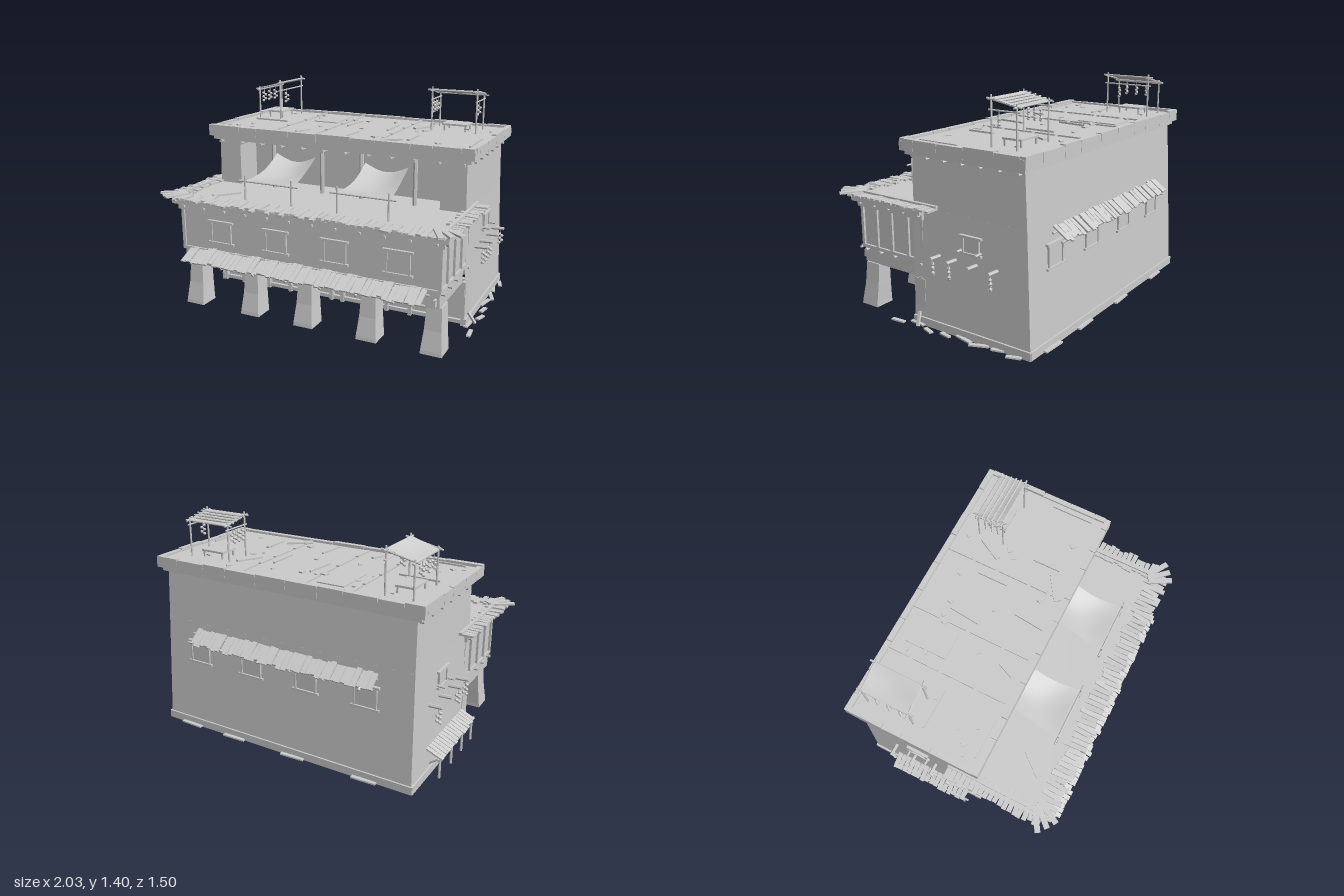
import * as THREE from 'three';

const mat = new THREE.MeshStandardMaterial({ color: 0xcccccc, flatShading: true });
const thin = new THREE.MeshStandardMaterial({ color: 0xcccccc, side: THREE.DoubleSide });

let seed = 7;
const rnd = (a = 0, b = 1) => {
  seed = (seed * 16807) % 2147483647;
  return a + (b - a) * (seed / 2147483647);
};

function add(parent, name, geo, material = mat) {
  const m = new THREE.Mesh(geo, material);
  m.name = name;
  parent.add(m);
  return m;
}

function group(parent, name) {
  const g = new THREE.Group();
  g.name = name;
  parent.add(g);
  return g;
}

// Box given by its limits
function box(parent, name, x0, x1, y0, y1, z0, z1) {
  const m = add(parent, name, new THREE.BoxGeometry(x1 - x0, y1 - y0, z1 - z0));
  m.position.set((x0 + x1) / 2, (y0 + y1) / 2, (z0 + z1) / 2);
  return m;
}

// Turned plank given by centre, size and rotation
function plank(parent, name, size, pos, rot = [0, 0, 0]) {
  const m = add(parent, name, new THREE.BoxGeometry(...size));
  m.position.set(...pos);
  m.rotation.set(...rot);
  return m;
}

// Round pole between two points
function pole(parent, name, a, b, r = 0.006) {
  const p = new THREE.Vector3(...a), q = new THREE.Vector3(...b), d = q.clone().sub(p);
  const m = add(parent, name, new THREE.CylinderGeometry(r, r, d.length(), 6));
  m.position.copy(p).add(q).multiplyScalar(0.5);
  m.quaternion.setFromUnitVectors(new THREE.Vector3(0, 1, 0), d.normalize());
  return m;
}

// Tapered block: rectangles [x0, x1, z0, z1] at the bottom and the top
function taper(parent, name, y0, y1, lo, hi, open = [], material = mat) {
  const ring = ([x0, x1, z0, z1], y) => [[x0, y, z1], [x1, y, z1], [x1, y, z0], [x0, y, z0]];
  const a = ring(lo, y0), b = ring(hi, y1);
  const faces = {
    front: [a[0], a[1], b[1], b[0]], right: [a[1], a[2], b[2], b[1]],
    back: [a[2], a[3], b[3], b[2]], left: [a[3], a[0], b[0], b[3]],
    top: b, bottom: [a[3], a[2], a[1], a[0]],
  };
  const v = [];
  for (const key in faces) {
    if (open.includes(key)) continue;
    const f = faces[key];
    for (const i of [0, 1, 2, 0, 2, 3]) v.push(...f[i]);
  }
  const geo = new THREE.BufferGeometry();
  geo.setAttribute('position', new THREE.Float32BufferAttribute(v, 3));
  geo.computeVertexNormals();
  return add(parent, name, geo, material);
}

// Window with lintel and sill, facing +z of its own group
function windowFrame(parent, x, y, z, turn, w = 0.14, h = 0.14) {
  const g = group(parent, 'window');
  box(g, 'shutter', -w / 2, w / 2, -h / 2, h / 2, -0.01, 0.004);
  for (const s of [-1, 1]) {
    plank(g, 'jamb', [0.012, h, 0.022], [s * w / 2, 0, 0]);
    plank(g, s > 0 ? 'lintel' : 'sill', [w + 0.045, 0.014, 0.03], [0, s * h / 2, 0]);
  }
  g.position.set(x, y, z);
  g.rotation.y = turn;
}

// String of drying food
function hanging(parent, x, y, z, s = 1) {
  const g = group(parent, 'hangingFood');
  pole(g, 'string', [0, 0, 0], [0, -0.09, 0], 0.002);
  for (let i = 0; i < 5; i++) {
    const m = add(g, 'food', new THREE.IcosahedronGeometry(0.011, 0));
    m.position.set(i % 2 ? 0.006 : -0.006, -0.03 - i * 0.014, i % 2 ? -0.006 : 0.006);
  }
  g.position.set(x, y, z);
  g.scale.setScalar(s);
}

// Sagging cloth: p(u, v) gives each point
function cloth(parent, name, p) {
  const geo = new THREE.PlaneGeometry(1, 1, 12, 12), a = geo.attributes.position;
  for (let i = 0; i < a.count; i++) a.setXYZ(i, ...p(a.getX(i) + 0.5, a.getY(i) + 0.5));
  geo.computeVertexNormals();
  return add(parent, name, geo, thin);
}

// Roof shelter with a slatted or cloth top, a table and hanging food
function shelter(parent, x0, x1, z0, z1, height, slats) {
  const g = group(parent, 'roofShelter');
  for (const x of [x0, x1]) for (const z of [z0, z1]) pole(g, 'post', [x, 1.1, z], [x, height(x, z) + 0.02, z]);
  const e = 0.03;
  for (const z of [z0, z1]) pole(g, 'topBeam', [x0 - e, height(x0, z), z], [x1 + e, height(x1, z), z]);
  for (const x of [x0, x1]) {
    pole(g, 'sideBeam', [x, height(x, z0), z0 - e], [x, height(x, z1), z1 + e]);
    pole(g, 'hangingRail', [x, 1.32, z0 - 0.02], [x, 1.32, z1 + 0.02], 0.005);
  }
  cloth(g, 'canopy', (u, v) => {
    const x = x0 + (x1 - x0) * u, z = z1 + (z0 - z1) * v;
    return [x, height(x, z) + 0.006 - 0.012 * Math.sin(Math.PI * u) * Math.sin(Math.PI * v), z];
  });
  if (slats) for (let i = 1; i < 5; i++) {
    const z = z0 + (z1 - z0) * i / 5;
    pole(g, 'slat', [x0 - 0.02, height(x0, z) + 0.006, z], [x1 + 0.02, height(x1, z) + 0.006, z]);
  }
  const cx = (x0 + x1) / 2, cz = (z0 + z1) / 2, w = Math.min(0.17, x1 - x0 - 0.05), d = Math.min(0.17, z1 - z0 - 0.04);
  plank(g, 'tableTop', [w, 0.012, d], [cx, 1.158, cz]);
  for (const a of [-1, 1]) for (const b of [-1, 1]) plank(g, 'tableLeg', [0.01, 0.05, 0.01], [cx + a * w * 0.42, 1.132, cz + b * d * 0.42]);
  for (const t of [0.3, 0.55, 0.8]) hanging(g, x0, 1.32, z0 + (z1 - z0) * t);
  hanging(g, x1, 1.32, z0 + (z1 - z0) * 0.7);
}

export function createModel() {
  const root = new THREE.Group();
  root.name = 'tradingHouse';

  // Main tapered walls, open below, with an open terrace cut in the upper storey
  taper(root, 'lowerWalls', 0, 0.728, [-0.895, 0.895, -0.68, 0.165], [-0.875, 0.875, -0.643, 0.165], ['bottom', 'front'], thin);
  taper(root, 'upperRoom', 0.72, 1.06, [-0.875, 0.875, -0.643, -0.03], [-0.868, 0.868, -0.625, -0.03]);
  for (const s of [-1, 1]) {
    const lo = [0.71, 0.875].map(x => x * s).sort((a, b) => a - b), hi = [0.71, 0.868].map(x => x * s).sort((a, b) => a - b);
    taper(root, 'upperEndWall', 0.72, 1.06, [...lo, -0.04, 0.165], [...hi, -0.04, 0.165]);
    box(root, 'sidePlinth', s > 0 ? 0.885 : -0.905, s > 0 ? 0.905 : -0.885, 0, 0.05, -0.685, 0.168);
  }
  box(root, 'backPlinth', -0.9, 0.9, 0, 0.05, -0.688, -0.665);
  for (const x of [-0.46, -0.1, 0.18, 0.54]) pole(root, 'terraceColumn', [x, 0.73, 0.14], [x, 1.05, 0.14], 0.014);

  // Ground storey front: panels, posts and rails
  box(root, 'groundFrontWall', -0.89, 0.89, 0.005, 0.3, 0.1, 0.13);
  for (const y of [0.02, 0.265]) box(root, 'groundRail', -0.89, 0.89, y - 0.012, y + 0.012, 0.08, 0.15);
  for (const x of [-0.88, -0.73, -0.52, -0.35, -0.23, -0.03, 0.05, 0.32, 0.37, 0.53, 0.73, 0.88]) box(root, 'groundPost', x - 0.012, x + 0.012, 0, 0.29, 0.08, 0.162);
  box(root, 'groundCeiling', -0.87, 0.87, 0.36, 0.38, -0.65, 0.16);

  // Overhanging middle storey
  box(root, 'overhangBeam', -0.87, 0.87, 0.29, 0.39, 0.16, 0.598);
  box(root, 'middleRoom', -0.868, 0.868, 0.38, 0.68, 0.09, 0.6);
  box(root, 'lowerRail', -0.882, 0.882, 0.385, 0.405, 0.09, 0.612);
  box(root, 'upperRail', -0.895, 0.895, 0.655, 0.695, 0.085, 0.62);
  box(root, 'terraceDeck', -0.925, 0.925, 0.692, 0.732, 0.075, 0.642);
  for (const s of [-1, 1]) for (const z of [0.105, 0.22, 0.355, 0.48, 0.6]) plank(root, 'sideStud', [0.022, 0.27, 0.02], [s * 0.871, 0.53, z]);
  for (const x of [-0.58, -0.18, 0.22, 0.62]) {
    windowFrame(root, x, 0.53, 0.603, 0);
    windowFrame(root, x, 0.53, -0.655, Math.PI);
  }

  // Flared columns leaning back
  for (const x of [-0.805, -0.38, 0.005, 0.43, 0.835]) {
    const g = group(root, 'frontColumn');
    const rings = [[0.008, 0.066, 0.49, 0.62], [0.03, 0.064, 0.49, 0.618], [0.15, 0.053, 0.482, 0.595], [0.292, 0.045, 0.475, 0.582]];
    for (let i = 0; i < 3; i++) {
      const [y0, w0, a0, b0] = rings[i], [y1, w1, a1, b1] = rings[i + 1];
      taper(g, 'columnShaft', y0, y1, [x - w0, x + w0, a0, b0], [x - w1, x + w1, a1, b1], i ? ['bottom'] : []);
    }
  }

  // Roof slab, cornice, rim and dividers
  box(root, 'cornice', -0.9, 0.9, 1.035, 1.07, -0.645, 0.195);
  box(root, 'roofSlab', -0.925, 0.925, 1.06, 1.115, -0.665, 0.212);
  const rim = group(root, 'roofRim');
  const rimRun = (from, to, place) => {
    for (let t = from; t < to - 0.01;) {
      const n = Math.min(to, t + rnd(0.12, 0.25));
      place(t, n - 0.004, 1.13 + rnd(-0.004, 0.006));
      t = n;
    }
  };
  for (const z of [-0.648, 0.195]) rimRun(-0.925, 0.925, (a, b, y) => box(rim, 'rimBlock', a, b, 1.06, y, z - 0.018, z + 0.018));
  for (const x of [-0.91, 0.91]) rimRun(-0.63, 0.18, (a, b, y) => box(rim, 'rimBlock', x - 0.016, x + 0.016, 1.06, y, a, b));
  for (const x of [-0.46, -0.155, 0.29]) rimRun(-0.63, 0.18, (a, b) => box(rim, 'roofDivider', x - 0.01, x + 0.01, 1.11, 1.124, a, b - 0.02));
  box(root, 'roofHatch', -0.385, -0.21, 1.11, 1.122, -0.565, -0.29);
  for (let i = 0; i < 26; i++) plank(root, 'roofDebris', [rnd(0.015, 0.04), 0.008, rnd(0.015, 0.03)], [rnd(-0.85, 0.85), 1.119, rnd(-0.58, 0.14)], [0, rnd(0, 3), 0]);
  for (const [x, z, r, w, l] of [[0.4, -0.39, -0.5, 0.03, 0.17], [0.34, 0.1, -1, 0.05, 0.18], [-0.28, 0.07, -0.4, 0.02, 0.11], [-0.08, -0.32, -0.1, 0.012, 0.2], [0.06, 0.05, -0.1, 0.012, 0.2], [0.22, -0.28, 0, 0.012, 0.2], [0.46, -0.02, 0, 0.02, 0.18], [0.86, -0.03, 0, 0.01, 0.27], [-0.68, -0.2, 1.55, 0.012, 0.26], [-0.7, 0.15, 1.55, 0.012, 0.26]])
    plank(root, 'looseBoard', [w, 0.012, l], [x, 1.12, z], [0, r, 0]);

  // Beam ends under roof, deck and overhang
  for (let i = 0; i < 12; i++) {
    const x = -0.85 + i * 0.1545;
    pole(root, 'roofBeamEnd', [x, 1.022, 0.1], [x, 1.022, 0.19], 0.013);
    pole(root, 'deckBeamEnd', [x, 0.677, 0.58], [x, 0.677, 0.635], 0.013);
    plank(root, 'awningBracket', [0.012, 0.045, 0.04], [x, 0.33, 0.61]);
  }
  for (const s of [-1, 1]) {
    for (let i = 0; i < 6; i++) pole(root, 'roofBeamEnd', [s * 0.85, 1.022, 0.045 - i * 0.128], [s * 0.895, 1.022, 0.045 - i * 0.128], 0.012);
    for (const z of [0.11, 0.23, 0.35, 0.47, 0.59]) pole(root, 'deckBeamEnd', [s * 0.86, 0.677, z], [s * 0.912, 0.677, z], 0.012);
    for (const z of [0.11, 0.33, 0.45, 0.57]) pole(root, 'floorBeamEnd', [s * 0.85, 0.375, z], [s * 0.895, 0.375, z], 0.011);
  }

  // Plank edging around the deck
  const edge = group(root, 'deckPlanks');
  for (let x = -0.9; x < 0.92; x += 0.034) plank(edge, 'plank', [0.03, 0.012, rnd(0.1, 0.15)], [x, 0.742 + rnd(-0.004, 0.006), 0.635 + rnd(-0.015, 0.015)], [rnd(-0.05, 0.12), rnd(-0.08, 0.08), 0]);
  for (const s of [-1, 1]) {
    for (let z = -0.01; z < 0.62; z += 0.034) plank(edge, 'plank', [rnd(0.09, 0.14), 0.012, 0.03], [s * 0.912, 0.742 + rnd(-0.005, 0.005), z], [0, rnd(-0.08, 0.08), rnd(-0.05, 0.05)]);
    for (let i = 0; i < 3; i++) plank(edge, 'cornerPlank', [0.035, 0.012, 0.16], [s * (0.87 + i * 0.035), 0.754, 0.655 - i * 0.025], [0, s * (0.5 + i * 0.25), 0]);
    plank(edge, 'sidePoleBoard', [0.02, 0.012, 0.66], [s * 0.89, 0.753, 0.3]);
  }
  plank(root, 'looseBoard', [0.04, 0.012, 0.18], [-0.64, 0.738, 0.44], [0, -0.7, 0]);

  // Sloping plank awnings, front and back
  const awning = (name, half, yIn, zIn, yOut, zOut) => {
    const g = group(root, name), dy = yOut - yIn, dz = zOut - zIn, len = Math.hypot(dy, dz);
    for (let x = -half; x <= half; x += 0.033) plank(g, 'plank', [0.03, 0.01, len * rnd(0.88, 1.12)], [x, (yIn + yOut) / 2 + rnd(-0.004, 0.006), (zIn + zOut) / 2 + rnd(-0.008, 0.008)], [-Math.atan2(dy, dz) + (dz < 0 ? Math.PI : 0), rnd(-0.06, 0.06), 0]);
    for (const t of [0.2, 0.8]) pole(g, 'supportPole', [-half - 0.02, yIn + dy * t - 0.012, zIn + dz * t], [half + 0.02, yIn + dy * t - 0.012, zIn + dz * t], 0.007);
    for (let x = -half + 0.06; x < half; x += 0.23) pole(g, 'rafter', [x, yIn - 0.005, zIn - dz * 0.2], [x, yOut - 0.01, zOut], 0.008);
  };
  awning('frontAwning', 0.8, 0.402, 0.605, 0.345, 0.725);
  awning('backAwning', 0.64, 0.685, -0.645, 0.615, -0.74);

  // Side windows, pegs and hanging food
  for (const s of [-1, 1]) {
    windowFrame(root, s * 0.882, 0.57, -0.27, s * Math.PI / 2, 0.11, 0.1);
    for (const z of [-0.205, -0.335]) pole(root, 'sillSupport', [s * 0.87, 0.535, z], [s * 0.93, 0.535, z], 0.008);
    for (const z of [-0.035, -0.155, -0.305, -0.45]) {
      pole(root, 'peg', [s * 0.86, 0.46, z], [s * 0.965, 0.465, z], 0.011);
      if (z !== -0.305) hanging(root, s * 0.945, 0.46, z, 1.1);
    }
  }

  // Cloth sunshades on the terrace
  for (const [x0, x1] of [[-0.465, -0.105], [0.175, 0.535]]) {
    const g = group(root, 'sunshade'), cx = (x0 + x1) / 2, w = x1 - x0;
    for (const x of [x0 + 0.015, x1 - 0.015]) pole(g, 'shadePost', [x, 0.73, 0.51], [x, 0.9, 0.51]);
    pole(g, 'shadeBar', [x0 - 0.03, 0.86, 0.51], [x1 + 0.03, 0.86, 0.51]);
    cloth(g, 'shadeCloth', (u, v) => {
      const half = w / 2 * (0.97 - 0.17 * Math.sin(Math.min(1, v * 1.3) * Math.PI / 2));
      return [cx + (u * 2 - 1) * half, 0.86 + 0.11 * v - 0.03 * Math.sin(Math.PI * v) - 0.045 * Math.sin(Math.PI * u) * v, 0.51 - 0.36 * v - 0.02 * Math.sin(Math.PI * u) * (1 - v)];
    });
  }

  // Shelters on the roof
  shelter(root, -0.815, -0.645, -0.57, -0.265, x => 1.325 + (x + 0.815) * 0.3, false);
  shelter(root, 0.47, 0.77, -0.505, -0.335, (x, z) => 1.345 + (z + 0.505) * 0.22, true);

  // Lean-to at ground level
  const lean = group(root, 'leanTo');
  for (let z = -0.46; z < 0.1; z += 0.035) plank(lean, 'plank', [rnd(0.11, 0.14), 0.01, 0.031], [-0.93, 0.17, z], [0, rnd(-0.05, 0.05), 0.42]);
  for (const z of [-0.44, -0.26, -0.09, 0.07]) {
    pole(lean, 'post', [-0.965, 0, z], [-0.965, 0.15, z], 0.008);
    pole(lean, 'strut', [-0.9, 0.08, z], [-0.965, 0.13, z], 0.006);
  }
  pole(lean, 'rail', [-0.965, 0.14, -0.48], [-0.965, 0.14, 0.11], 0.007);

  // Boards lying on the ground
  for (let i = 0; i < 8; i++) plank(root, 'groundBoard', [0.025, 0.01, rnd(0.06, 0.13)], [0.93 + rnd(-0.02, 0.025), 0.008, 0.25 - i * 0.12], [0, rnd(-0.4, 0.4), 0]);
  plank(root, 'leaningBoard', [0.012, 0.09, 0.02], [0.925, 0.045, 0.11], [0.25, 0, 0.5]);
  for (const x of [-0.6, -0.1, 0.35, 0.7]) plank(root, 'groundBoard', [0.16, 0.01, 0.025], [x, 0.008, -0.7], [0, rnd(-0.1, 0.1), 0]);
  return root;
}
